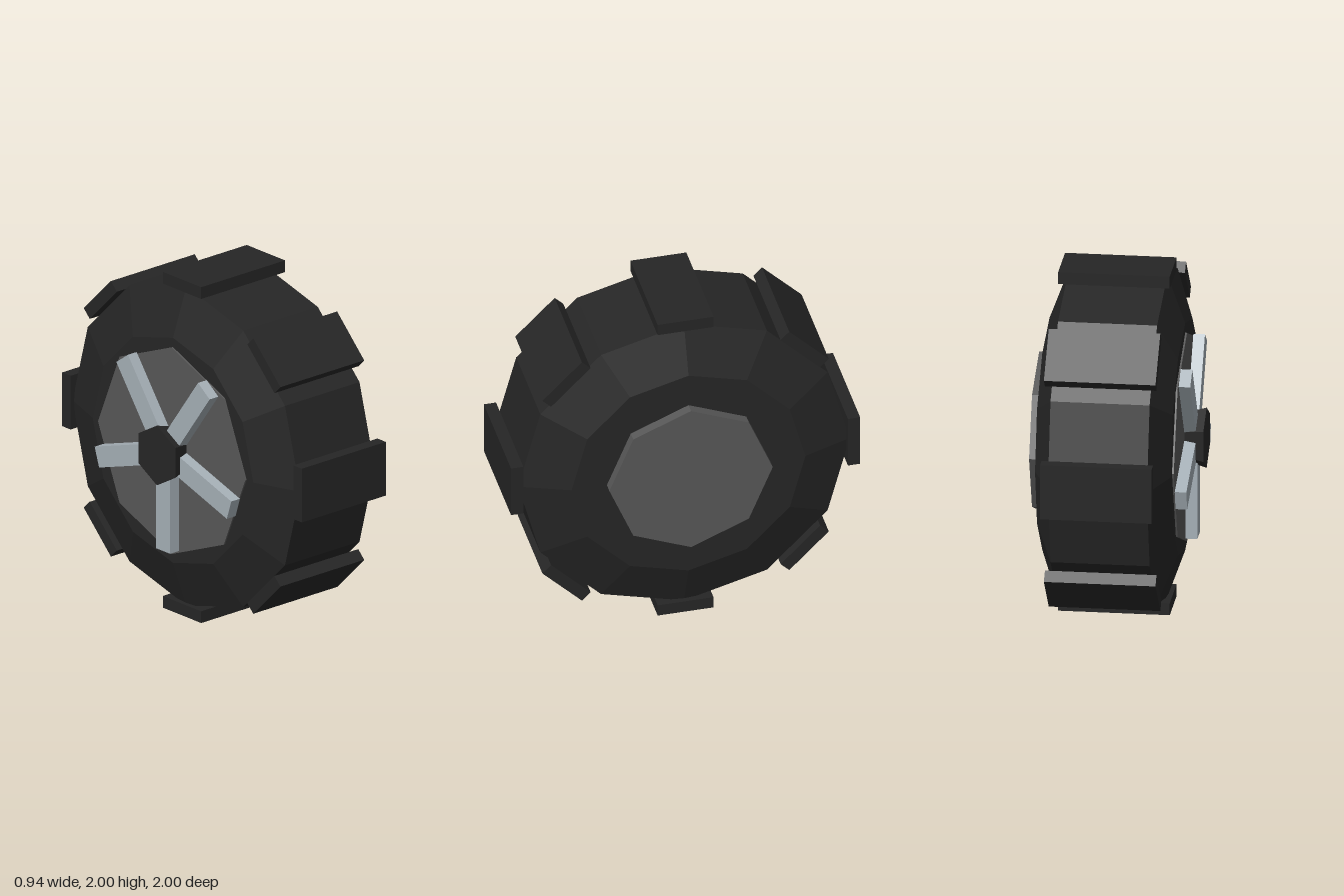
import * as THREE from 'three';

const mat = (name, color) => {
  const m = new THREE.MeshStandardMaterial({ color, flatShading: true });
  m.name = name;
  return m;
};

export function createModel() {
  const rubber = mat('black rubber', 0x262626);
  const rimGrey = mat('dark grey rim', 0x585858);
  const metal = mat('light metal', 0xa6b0b7);

  const wheel = new THREE.Group();
  wheel.name = 'wheel';
  wheel.position.y = 1;

  const add = (parent, name, geometry, material) => {
    const mesh = new THREE.Mesh(geometry, material);
    mesh.name = name;
    parent.add(mesh);
    return mesh;
  };

  // Faceted disc along the axle from x0 to x1, with a corner pointing up
  const disc = (name, x0, x1, r0, r1, sides, material) => {
    const g = new THREE.CylinderGeometry(r1, r0, x1 - x0, sides, 1, false, Math.PI / 2);
    g.rotateZ(-Math.PI / 2);
    g.translate((x0 + x1) / 2, 0, 0);
    return add(wheel, name, g, material);
  };

  // Tyre body: twelve-sided with bevelled shoulders
  const profile = [
    [0, -0.35], [0.67, -0.35], [0.95, -0.25], [0.95, 0.305], [0.67, 0.41], [0, 0.41],
  ].map(([r, x]) => new THREE.Vector2(r, x));
  const tyre = new THREE.LatheGeometry(profile, 12);
  tyre.rotateZ(-Math.PI / 2);
  add(wheel, 'tyre', tyre, rubber);

  // Eight tread blocks around the tyre
  for (let i = 0; i < 8; i++) {
    const g = new THREE.BoxGeometry(0.625, 0.07, 0.32);
    g.translate(0.03, 0.965, 0);
    add(wheel, 'treadBlock', g, rubber).rotation.x = (i * Math.PI) / 4;
  }

  // Plain cap on one side, rim plate on the other
  disc('innerCap', 0.4, 0.468, 0.468, 0.468, 8, rimGrey);
  disc('rimPlate', -0.36, -0.34, 0.615, 0.615, 8, rimGrey);

  // Five spokes, one pointing straight down
  for (let i = 0; i < 5; i++) {
    const g = new THREE.BoxGeometry(0.065, 0.58, 0.12);
    g.translate(-0.3925, -0.29, 0);
    add(wheel, 'spoke', g, metal).rotation.x = (i * Math.PI * 2) / 5;
  }

  // Hexagonal hub nut, wider at its outer end
  disc('hubNut', -0.47, -0.35, 0.178, 0.142, 6, rubber);

  const model = new THREE.Group();
  model.name = 'offRoadWheel';
  model.add(wheel);
  return model;
}
